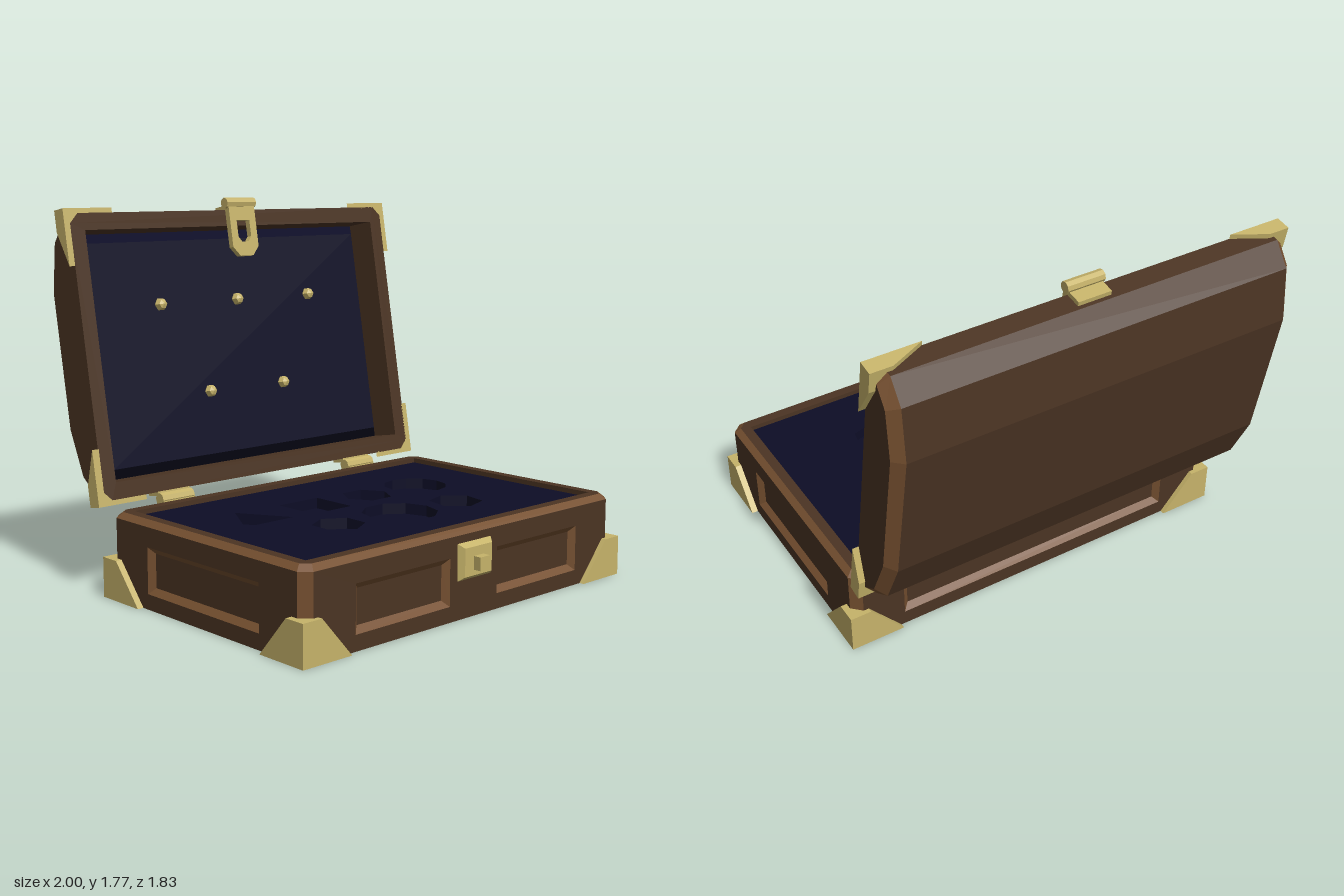
import * as THREE from 'three';

const mat = (name, color, side = THREE.FrontSide) => {
  const m = new THREE.MeshStandardMaterial({ color, side });
  m.name = name;
  return m;
};

export function createModel() {
  const wood = mat('dark wood', 0x4b3423, THREE.DoubleSide);
  const edge = mat('worn wood edge', 0x765030, THREE.DoubleSide);
  const brass = mat('brass', 0xc6b36a);
  const velvet = mat('navy velvet', 0x0d0d26, THREE.DoubleSide);

  const add = (parent, name, geo, material, x = 0, y = 0, z = 0) => {
    const m = new THREE.Mesh(geo, material);
    m.name = name;
    m.position.set(x, y, z);
    parent.add(m);
    return m;
  };
  const group = (parent, name) => {
    const g = new THREE.Group();
    g.name = name;
    parent.add(g);
    return g;
  };
  const box = (w, h, d) => new THREE.BoxGeometry(w, h, d);
  const shape = pts => new THREE.Shape(pts.map(p => new THREE.Vector2(...p)));
  const extrude = (s, depth) => new THREE.ExtrudeGeometry(s, { depth, bevelEnabled: false });
  const rect = (w, h, x = 0, y = 0) => [[x - w, y - h], [x + w, y - h], [x + w, y + h], [x - w, y + h]];
  const octagon = (w, h, c) => [[w, c - h], [w, h - c], [w - c, h], [c - w, h], [-w, h - c], [-w, c - h], [c - w, -h], [w - c, -h]];
  const level = (pts, y) => pts.map(([x, z]) => [x, y, z]);

  // Flat-shaded band between two matching loops; pick chooses segments
  const band = (a, b, closed = true, pick = () => true) => {
    const pos = [];
    for (let i = 0; i < a.length - (closed ? 0 : 1); i++) {
      if (!pick(i)) continue;
      const j = (i + 1) % a.length;
      for (const p of [a[i], b[i], b[j], a[i], b[j], a[j]]) pos.push(...p);
    }
    const g = new THREE.BufferGeometry();
    g.setAttribute('position', new THREE.Float32BufferAttribute(pos, 3));
    g.computeVertexNormals();
    return g;
  };

  const HX = 0.97, HZ = 0.65, C = 0.045, IX = 0.895, IZ = 0.572;
  const rim = (outline) => {
    const s = shape(outline);
    s.holes.push(shape(rect(IX, IZ)));
    return new THREE.ShapeGeometry(s).rotateX(-Math.PI / 2);
  };

  // Four brass corner caps with slanted wings
  const corners = (parent, h) => {
    const T = 0.0275, Z = 0.6725;
    for (const sx of [-1, 1]) for (const sz of [-1, 1]) {
      const g = group(parent, 'cornerCap');
      g.scale.set(sx, 1, sz);
      add(g, 'frontWing', extrude(shape([[0.74, 0], [1, 0], [1, h], [0.9, h]]), T), brass, 0, 0, Z - T);
      const side = shape([[-Z, 0], [0.26 - Z, 0], [0.1 - Z, h], [-Z, h]]);
      add(g, 'sideWing', extrude(side, 0.035).rotateY(Math.PI / 2), brass, 0.965);
      const fill = shape([[0.92, -0.655], [0.975, -0.655], [0.975, -0.6]]);
      add(g, 'cornerFill', extrude(fill, h).rotateX(-Math.PI / 2), brass);
    }
  };

  // Wall with recessed, bevelled panels: each panel is [centre x, half width]
  const wall = (parent, name, half, panels, angle, dist) => {
    const g = group(parent, name);
    g.rotation.y = angle;
    const y = 0.175, h = 0.105, b = 0.028, depth = -0.025;
    const s = shape([[-half, 0], [half, 0], [half, 0.37], [-half, 0.37]]);
    for (const [x, w] of panels) {
      const outer = rect(w, h, x, y), inner = rect(w - b, h - b, x, y);
      s.holes.push(shape(outer));
      add(g, 'panelBevel', band(outer.map(p => [...p, 0]), inner.map(p => [...p, depth])), edge, 0, 0, dist);
      add(g, 'panel', new THREE.PlaneGeometry(2 * (w - b), 2 * (h - b)), wood, x, y, dist + depth);
    }
    add(g, 'wallFace', new THREE.ShapeGeometry(s), wood, 0, 0, dist);
  };

  const model = new THREE.Group();
  model.name = 'openChest';

  // Base box
  const base = group(model, 'base');
  base.position.z = 0.205;
  const foot = octagon(HX, HZ, C), top = octagon(0.942, 0.622, 0.035);
  wall(base, 'frontWall', HX - C, [[-0.425, 0.275], [0.425, 0.275]], 0, HZ);
  wall(base, 'backWall', HX - C, [[0, 0.72]], Math.PI, HZ);
  wall(base, 'leftWall', HZ - C, [[0, 0.375]], Math.PI / 2, HX);
  wall(base, 'rightWall', HZ - C, [[0, 0.375]], -Math.PI / 2, HX);
  add(base, 'cornerChamfers', band(level(foot, 0), level(foot, 0.37)), edge).geometry =
    band(level(foot, 0), level(foot, 0.37), true, i => i % 2 === 1);
  add(base, 'topChamfer', band(level(foot, 0.37), level(top, 0.395)), edge);
  add(base, 'bottom', new THREE.ShapeGeometry(shape(foot)).rotateX(Math.PI / 2), wood, 0, 0.004);
  add(base, 'baseRim', rim(top), wood, 0, 0.395);
  add(base, 'innerLip', band(level(rect(IX, IZ), 0.395), level(rect(IX, IZ), 0.31)), wood);
  corners(base, 0.185);

  // Velvet tray with cut-outs: x, z, radius, sides, turn
  const tray = shape(rect(IX, IZ));
  for (const [x, z, r, n, turn] of [
    [-0.53, 0.05, 0.16, 3, Math.PI / 2], [-0.17, 0.03, 0.165, 4, Math.PI / 4], [0.16, 0.03, 0.12, 6, 0], [0.49, 0.03, 0.155, 12, 0],
    [-0.33, 0.36, 0.12, 6, 0.5], [0.03, 0.38, 0.175, 10, 0], [0.38, 0.4, 0.125, 6, 0.3]]) {
    const pts = [];
    for (let i = 0; i < n; i++) {
      const a = turn + i * 2 * Math.PI / n;
      pts.push([x + r * Math.cos(a), 0.205 - z + r * Math.sin(a)]);
    }
    tray.holes.push(shape(pts));
  }
  add(base, 'velvetTray', extrude(tray, 0.05).rotateX(-Math.PI / 2), velvet, 0, 0.322);
  add(base, 'trayFloor', new THREE.PlaneGeometry(2 * IX, 2 * IZ).rotateX(-Math.PI / 2), velvet, 0, 0.321);

  // Lock plate and staple
  const frustum = (w, h, w2, h2, d) => {
    const a = rect(w, h).map(p => [...p, 0]), b = rect(w2, h2).map(p => [...p, d]);
    return band(b, a);
  };
  add(base, 'lockPlate', frustum(0.105, 0.082, 0.085, 0.063, 0.026), brass, 0, 0.253, HZ);
  add(base, 'lockFace', new THREE.PlaneGeometry(0.17, 0.126), brass, 0, 0.253, HZ + 0.026);
  add(base, 'lockStaple', box(0.06, 0.06, 0.05), brass, 0, 0.245, HZ + 0.038);

  // Lid, hinged open by 100 degrees; its own y points away from the opening
  const hinge = group(model, 'lidPivot');
  hinge.position.set(0, 0.405, -0.49);
  hinge.rotation.x = -100 * Math.PI / 180;
  const lid = group(hinge, 'lid');
  lid.position.z = 0.6725;
  const mirrorProfile = pts => [...pts, ...pts.map(([z, y]) => [-z, y]).reverse()];
  const full = mirrorProfile([[HZ, 0], [HZ, 0.093], [0.563, 0.185], [0.325, 0.25]]);
  const inset = mirrorProfile([[HZ - C, 0], [HZ - C, 0.075], [0.535, 0.145], [0.315, 0.205]]);
  const at = (pts, x) => pts.map(([z, y]) => [x, y, z]);
  add(lid, 'lidShell', band(at(full, HX - C), at(full, C - HX), false), wood);
  for (const s of [-1, 1]) {
    add(lid, 'lidEndChamfer', band(at(full, s * (HX - C)), at(inset, s * HX), false), edge);
    add(lid, 'lidEnd', new THREE.ShapeGeometry(shape(inset)).rotateY(-Math.PI / 2), wood, s * HX);
  }
  add(lid, 'lidRim', rim(foot), wood);
  add(lid, 'lidInnerWall', band(level(rect(IX, IZ), 0), level(rect(IX, IZ), 0.17)), wood);
  corners(lid, 0.07);

  // Padded velvet lining with studs
  const pad = level(rect(IX, IZ), 0.16), padTop = level(rect(IX - 0.06, IZ - 0.05), 0.095);
  add(lid, 'liningEdge', band(pad, padTop), velvet);
  add(lid, 'lining', new THREE.PlaneGeometry(2 * (IX - 0.06), 2 * (IZ - 0.05)).rotateX(Math.PI / 2), velvet, 0, 0.095);
  for (const [x, z] of [[-0.467, 0.22], [0, 0.22], [0.467, 0.22], [-0.233, -0.217], [0.233, -0.217]])
    add(lid, 'stud', new THREE.SphereGeometry(0.032, 6, 4).toNonIndexed(), brass, x, 0.088, z).geometry.computeVertexNormals();

  // Hasp folded over the rim
  const rod = (r, l) => {
    const g = new THREE.CylinderGeometry(r, r, l, 8).rotateZ(Math.PI / 2).toNonIndexed();
    g.computeVertexNormals();
    return g;
  };
  const hasp = shape([[-0.08, 0.67], [-0.08, 0.465], [-0.04, 0.42], [0.04, 0.42], [0.08, 0.465], [0.08, 0.67]]);
  hasp.holes.push(shape([[-0.04, 0.595], [0.04, 0.595], [0.04, 0.515], [0.02, 0.49], [-0.02, 0.49], [-0.04, 0.515]]));
  add(lid, 'hasp', extrude(hasp, 0.03).rotateX(Math.PI / 2), brass);
  add(lid, 'haspBar', rod(0.027, 0.18), brass, 0, -0.012, 0.682);
  add(lid, 'haspStrap', box(0.16, 0.08, 0.025), brass, 0, 0.035, 0.658);

  // Hinges
  for (const x of [-0.585, 0.585]) {
    add(base, 'hingeKnuckle', rod(0.03, 0.18), brass, x, 0.395, -0.685);
    add(base, 'hingeLeaf', box(0.18, 0.1, 0.02), brass, x, 0.34, -0.658);
    add(lid, 'lidHingeLeaf', box(0.18, 0.075, 0.02), brass, x, 0.035, -0.658);
  }
  return model;
}
